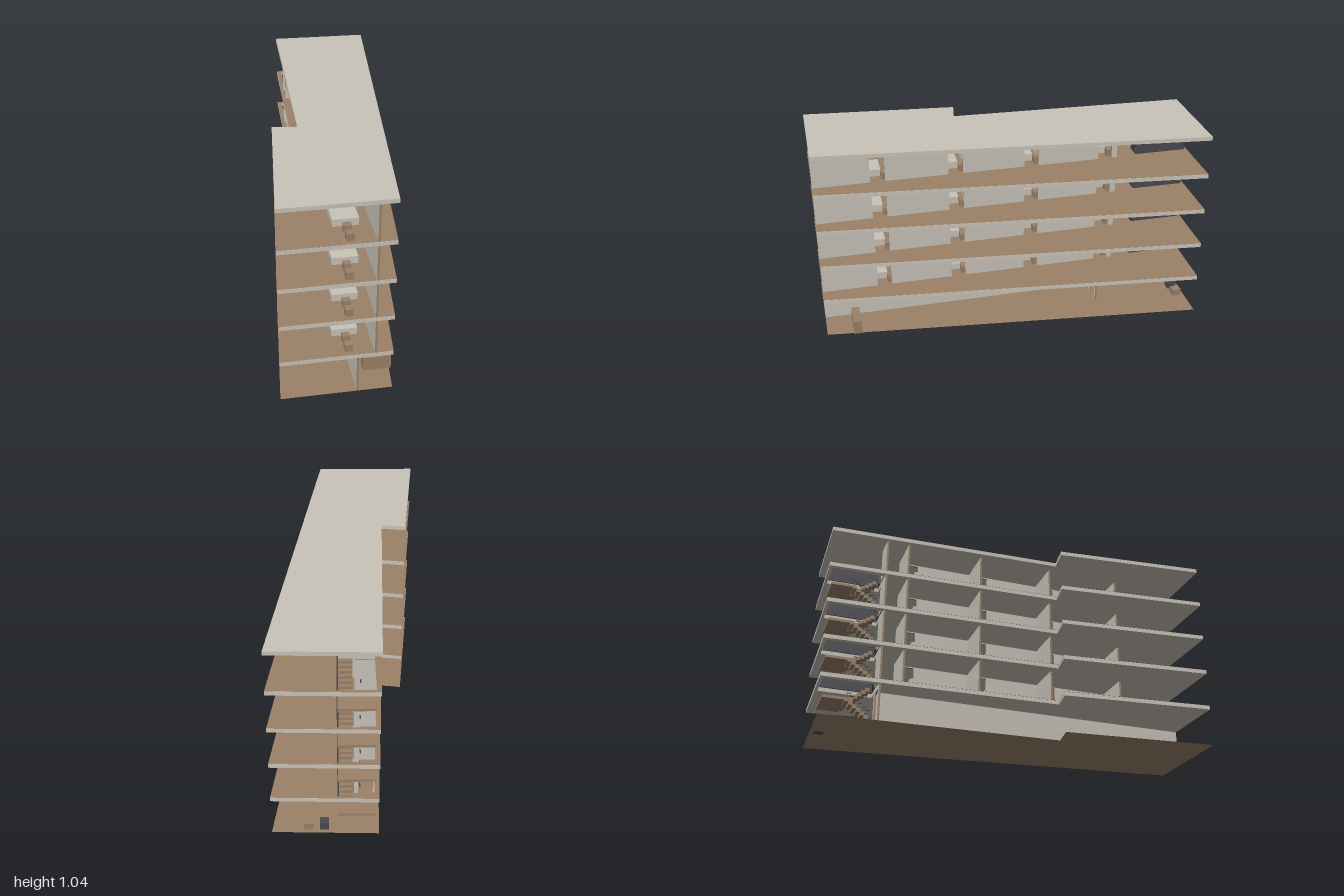
import * as THREE from 'three';

export function createModel() {
  const model = new THREE.Group();
  const mat = (name, color, side = THREE.FrontSide) => {
    const m = new THREE.MeshStandardMaterial({ color, side });
    m.name = name;
    return m;
  };
  const plaster = mat('plaster', 0xc9c4b9);
  const wood = mat('wood', 0x9b8168, THREE.DoubleSide);
  const dark = mat('dark panel', 0x4a4950);

  const add = (name, geometry, material, parent = model) => {
    const mesh = new THREE.Mesh(geometry, material);
    mesh.name = name;
    parent.add(mesh);
    return mesh;
  };
  // Box given by its limits on each axis
  const box = (name, x0, x1, y0, y1, z0, z1, material, parent) => {
    const g = new THREE.BoxGeometry(x1 - x0, y1 - y0, z1 - z0);
    g.translate((x0 + x1) / 2, (y0 + y1) / 2, (z0 + z1) / 2);
    return add(name, g, material, parent);
  };

  // Skewed footprint, as x and z corners
  const corners = [[-0.385, 1], [0.155, 1], [0.38, -0.985], [-0.135, -1], [-0.18, 0.23], [-0.305, 0.21]];
  const well = [[-0.115, -0.705], [0.06, -0.705], [0.06, -0.98], [-0.115, -0.98]];
  const points = (list) => list.map(([x, z]) => new THREE.Vector2(x, -z));
  const footprint = (hasWell) => {
    const s = new THREE.Shape(points(corners));
    if (hasWell) s.holes.push(new THREE.Path(points(well)));
    return s;
  };
  const floorSkin = (name, y, hasWell, parent) => {
    const g = new THREE.ShapeGeometry(footprint(hasWell));
    g.rotateX(-Math.PI / 2);
    add(name, g, wood, parent).position.y = y;
  };
  const slab = (name, y, hasWell, parent) => {
    const g = new THREE.ExtrudeGeometry(footprint(hasWell), { depth: 0.021, bevelEnabled: false });
    g.rotateX(-Math.PI / 2);
    add(name, g, plaster, parent).position.y = y;
  };

  // Upright wall with door notches; plaster faces and wooden edges
  const T = 0.01;
  const wall = (name, axis, a, b, at, y, h, doors, doorH, parent) => {
    const s = new THREE.Shape();
    s.moveTo(a, 0);
    for (const [d0, d1] of doors) {
      s.lineTo(d0, 0);
      s.lineTo(d0, doorH);
      s.lineTo(d1, doorH);
      s.lineTo(d1, 0);
    }
    s.lineTo(b, 0);
    s.lineTo(b, h);
    s.lineTo(a, h);
    const g = new THREE.ExtrudeGeometry(s, { depth: T, bevelEnabled: false });
    g.translate(0, 0, -T / 2);
    if (axis === 'z') g.rotateY(-Math.PI / 2);
    const mesh = add(name, g, [plaster, wood], parent);
    mesh.position.set(axis === 'z' ? at : 0, y, axis === 'x' ? at : 0);
  };

  // Two stair flights with a half landing and a stepped handrail
  const stairs = (y, rise, parent) => {
    const g = new THREE.Group();
    g.name = 'staircase';
    g.position.y = y;
    parent.add(g);
    const n = 7, step = rise / 2 / n, run = 0.02;
    for (let i = 0; i < n; i++) {
      const top = (i + 1) * step, z = -0.73 - i * run;
      box('lowerStep', -0.115, -0.045, Math.max(0, top - 0.02), top, z - run, z, wood, g);
      box('lowerRail', -0.049, -0.045, top + 0.066, top + 0.07, z - run, z, dark, g);
      const top2 = rise / 2 + top, z2 = -0.87 + i * run;
      box('upperStep', -0.01, 0.06, top2 - 0.02, top2, z2, z2 + run, wood, g);
    }
    box('landing', -0.115, 0.06, rise / 2 - 0.013, rise / 2, -0.98, -0.87, wood, g);
  };

  // Ground level
  const ground = new THREE.Group();
  ground.name = 'groundLevel';
  model.add(ground);
  floorSkin('groundFloor', 0, false, ground);
  wall('spineWall', 'z', -0.705, 1, -0.015, 0, 0.198, [], 0, ground);
  wall('entranceWall', 'x', -0.01, 0.155, -0.49, 0, 0.198, [[0.07, 0.135]], 0.175, ground);
  wall('stairWall', 'x', -0.135, -0.02, -0.705, 0, 0.198, [[-0.115, -0.04]], 0.175, ground);
  box('counter', 0.04, 0.18, 0, 0.075, 0.817, 0.86, wood, ground);
  box('crate', 0.18, 0.225, 0, 0.037, -0.97, -0.923, wood, ground);
  box('darkCrate', 0.105, 0.148, 0, 0.037, -0.97, -0.923, dark, ground);
  stairs(0, 0.219, ground);

  // Four open storeys of rooms along a gallery
  const pitch = 0.2045, H = 0.183;
  const rooms = [-0.595, -0.195, 0.205, 0.605];
  for (let k = 0; k < 4; k++) {
    const y = 0.219 + k * pitch;
    const storey = new THREE.Group();
    storey.name = 'storey' + (k + 1);
    model.add(storey);
    slab('floorSlab', y - 0.022, true, storey);
    floorSkin('floorSurface', y, true, storey);
    wall('galleryWall', 'z', -0.595, 1, 0.07, y, H, rooms.map((z) => [z + 0.03, z + 0.105]), 0.177, storey);
    wall('stairWall', 'x', -0.135, -0.02, -0.705, y, H, [], 0, storey);
    box('stairParapet', 0.056, 0.063, y, y + 0.085, -0.98, -0.705, dark, storey);
    if (k < 3) stairs(y, pitch, storey);
    for (const z of rooms) {
      wall('crossWall', 'x', -0.135, 0.065, z + 0.005, y, H, [], 0, storey);
      box('bed', -0.115, 0.01, y, y + 0.037, z + 0.045, z + 0.24, plaster, storey);
      box('nightstand', 0.015, 0.055, y, y + 0.037, z + 0.012, z + 0.048, wood, storey);
      box('stool', -0.072, -0.034, y, y + 0.037, z + 0.265, z + 0.3, wood, storey);
      box('chest', -0.072, -0.034, y, y + 0.037, z + 0.33, z + 0.368, wood, storey);
    }
  }

  // Roof
  slab('roofSlab', 1.021, false);
  return model;
}
